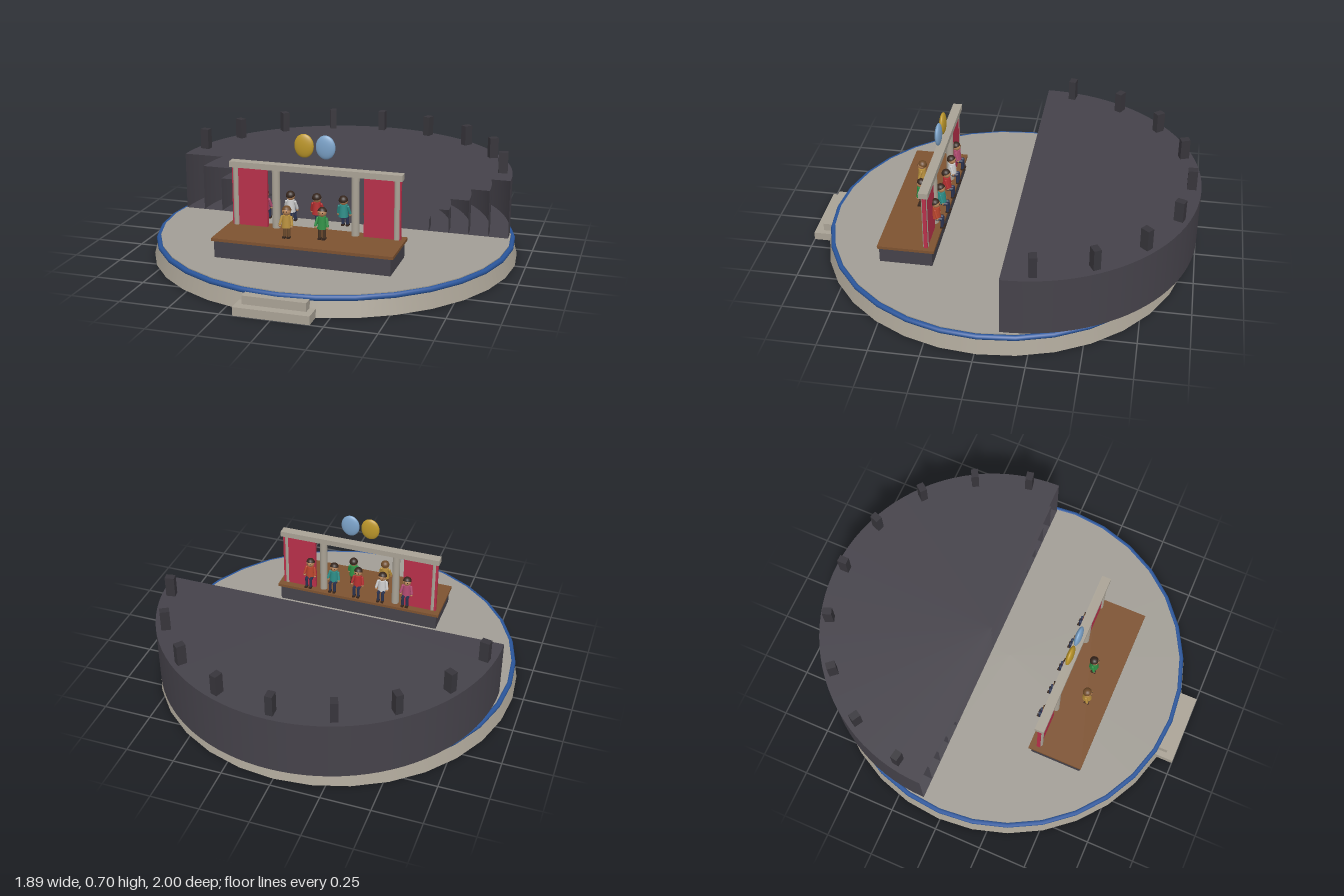
import * as THREE from 'three';

const mat = (color, side = THREE.FrontSide) => new THREE.MeshStandardMaterial({ color, side });
const STONE = mat(0xa9a295), FLOOR = mat(0xa19d95), DARK = mat(0x45424a), BOWL = mat(0x45424a, THREE.DoubleSide);
const LAMP = mat(0x37353b), BLUE = mat(0x2a569c), WOOD = mat(0x7d5230), RED = mat(0xb8304a);
const SKIN = mat(0xb98558), HAIR = mat(0x35251c), NAVY = mat(0x2b3350);

function add(parent, name, geometry, material, x = 0, y = 0, z = 0) {
  const mesh = new THREE.Mesh(geometry, material);
  mesh.name = name;
  mesh.position.set(x, y, z);
  parent.add(mesh);
  return mesh;
}

// Box given by its bottom height, top height and z range, centred on x
function slab(parent, name, material, x, width, y0, y1, z0, z1) {
  return add(parent, name, new THREE.BoxGeometry(width, y1 - y0, z1 - z0), material, x, (y0 + y1) / 2, (z0 + z1) / 2);
}

// Small person facing +z; y = 0 is the sole when standing and the seat when seated
function person(name, shirtColor, trousers, hair, seated) {
  const g = new THREE.Group();
  g.name = name;
  const shirt = mat(shirtColor);
  const hip = seated ? 0.01 : 0.055;
  add(g, 'torso', new THREE.CylinderGeometry(0.019, 0.025, 0.062, 12), shirt, 0, hip + 0.031, 0);
  add(g, 'head', new THREE.SphereGeometry(0.022, 14, 10), SKIN, 0, hip + 0.082, 0);
  const cap = add(g, 'hair', new THREE.SphereGeometry(0.0235, 14, 6, 0, Math.PI * 2, 0, Math.PI * 0.5), hair, 0, hip + 0.085, -0.003);
  cap.rotation.x = -0.35;
  for (const s of [-1, 1]) {
    const arm = add(g, 'arm', new THREE.CapsuleGeometry(0.007, 0.038, 3, 8), shirt, s * 0.027, hip + 0.034, 0.005);
    arm.rotation.set(-0.3, 0, s * 0.2);
    add(g, 'hand', new THREE.SphereGeometry(0.007, 8, 6), SKIN, s * 0.03, hip + 0.008, 0.012);
    add(g, 'eye', new THREE.SphereGeometry(0.003, 6, 4), HAIR, s * 0.008, hip + 0.084, 0.02);
    if (seated) {
      const thigh = add(g, 'thigh', new THREE.CylinderGeometry(0.009, 0.009, 0.034, 8), trousers, s * 0.012, 0.006, 0.017);
      thigh.rotation.x = Math.PI / 2;
      add(g, 'shin', new THREE.CylinderGeometry(0.008, 0.008, 0.05, 8), trousers, s * 0.012, -0.016, 0.031);
      add(g, 'shoe', new THREE.BoxGeometry(0.014, 0.009, 0.024), HAIR, s * 0.012, -0.043, 0.034);
    } else {
      add(g, 'leg', new THREE.CylinderGeometry(0.009, 0.009, 0.055, 8), trousers, s * 0.011, 0.0275, 0);
      add(g, 'shoe', new THREE.BoxGeometry(0.015, 0.009, 0.026), HAIR, s * 0.011, 0.0045, 0.005);
    }
  }
  return g;
}

export function createModel() {
  const model = new THREE.Group();
  model.name = 'theatre';

  // Round base with floor, blue rim and entrance steps
  const baseZ = -0.01;
  add(model, 'base', new THREE.CylinderGeometry(0.92, 0.945, 0.09, 32), STONE, 0, 0.045, baseZ);
  add(model, 'floor', new THREE.CylinderGeometry(0.91, 0.91, 0.02, 32), FLOOR, 0, 0.092, baseZ);
  const rim = add(model, 'rim', new THREE.TorusGeometry(0.919, 0.014, 8, 32), BLUE, 0, 0.087, baseZ);
  rim.rotation.set(-Math.PI / 2, 0, -Math.PI / 2);
  slab(model, 'lowerStep', STONE, 0, 0.37, 0, 0.042, 0.88, 1);
  slab(model, 'upperStep', STONE, 0, 0.31, 0.042, 0.084, 0.86, 0.955);

  // Nested half-round tiers, open towards the stage
  const bowl = new THREE.Group();
  bowl.name = 'seatingBowl';
  bowl.position.set(0, 0.104, -0.11);
  model.add(bowl);
  for (let i = 0; i < 5; i++) {
    const r = 0.475 + i * 0.10375, h = 0.0615 * (i + 1);
    add(bowl, 'tier', new THREE.CylinderGeometry(r, r, h, 48, 1, false, Math.PI / 2, Math.PI), BOWL, 0, h / 2, 0);
  }

  // Lamp blocks around the top edge
  for (let i = -4; i <= 4; i++) {
    const a = i * Math.PI / 9;
    const lamp = add(bowl, 'lampBlock', new THREE.BoxGeometry(0.037, 0.11, 0.048), LAMP,
      0.84 * Math.sin(a), 0.362, -0.84 * Math.cos(a));
    lamp.rotation.y = -a;
  }

  // Stage platform
  slab(model, 'platform', DARK, 0, 0.89, 0.1, 0.187, 0.302, 0.573);
  slab(model, 'stageBoards', WOOD, 0, 0.915, 0.187, 0.202, 0.29, 0.58);

  // Portal: beam, columns and curtains
  slab(model, 'beam', STONE, 0, 0.885, 0.503, 0.533, 0.312, 0.36);
  for (const s of [-1, 1]) {
    add(model, 'innerColumn', new THREE.CylinderGeometry(0.02, 0.02, 0.301, 16), STONE, s * 0.205, 0.3525, 0.336);
    add(model, 'outerColumn', new THREE.CylinderGeometry(0.015, 0.015, 0.301, 16), STONE, s * 0.415, 0.3525, 0.338);
    slab(model, 'curtain', RED, s * 0.342, 0.185, 0.202, 0.503, 0.326, 0.344);
  }

  // Oval emblems above the beam
  [[-0.057, 0xbb962a], [0.053, 0x7ba2c8]].forEach(([x, color]) => {
    add(model, 'ovalDisc', new THREE.SphereGeometry(1, 28, 18), mat(color), x, 0.636, 0.336).scale.set(0.05, 0.06, 0.017);
  });

  // Two players on the boards
  const goldPlayer = person('goldPlayer', 0xb88f3c, mat(0x6b4a2c), mat(0x6e4a28), false);
  goldPlayer.position.set(-0.105, 0.202, 0.468);
  const greenPlayer = person('greenPlayer', 0x2f8f45, mat(0x4a3524), HAIR, false);
  greenPlayer.position.set(0.066, 0.202, 0.437);
  model.add(goldPlayer, greenPlayer);

  // Seated row along the back edge, facing the tiers
  [0xb04a70, 0xd8d8d8, 0xb52f30, 0x2c8c86, 0xb8452c].forEach((color, i) => {
    const sitter = person('seatedFigure', color, NAVY, HAIR, true);
    sitter.position.set((i - 2) * 0.137, 0.275, 0.312);
    sitter.rotation.y = Math.PI;
    model.add(sitter);
  });

  return model;
}
